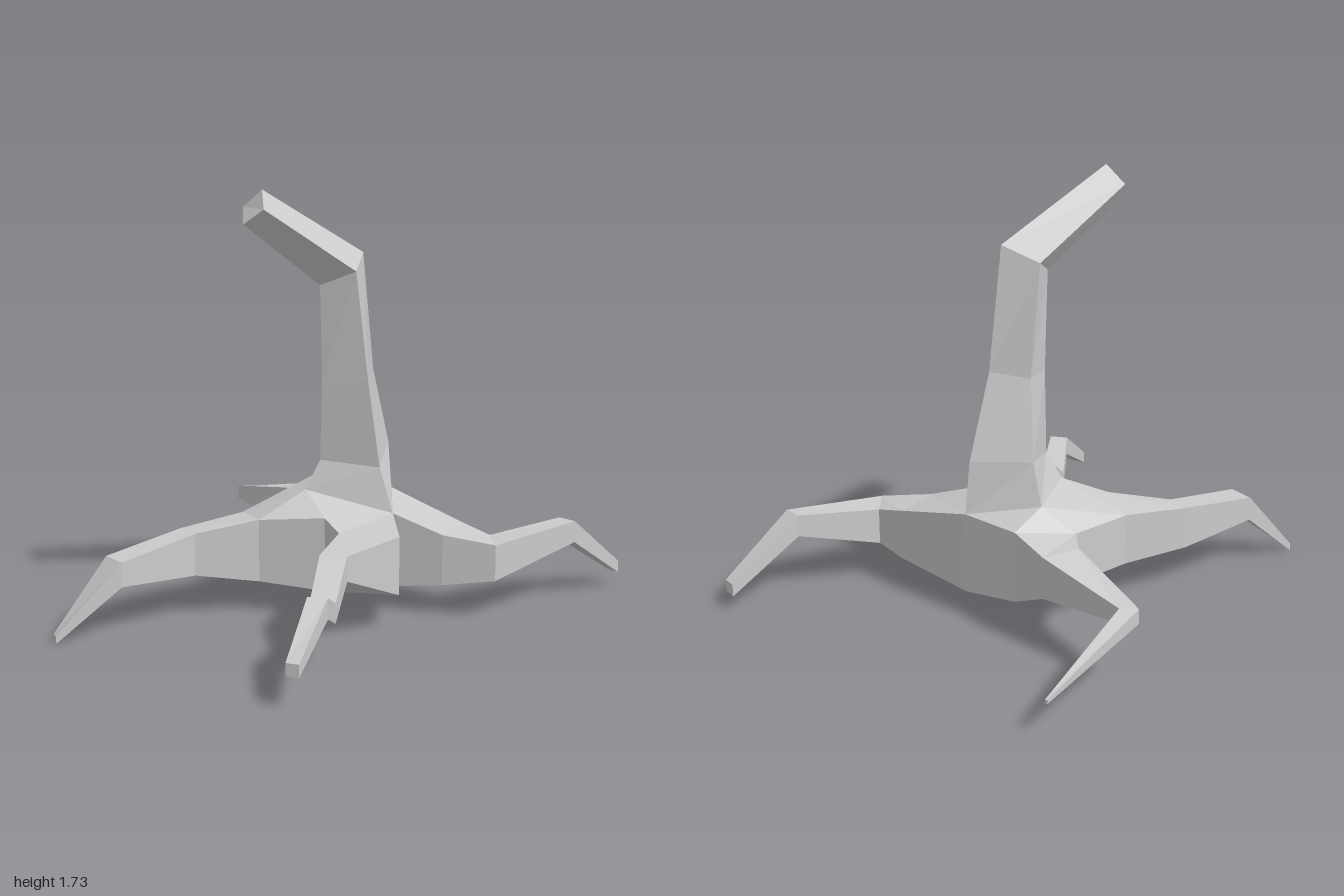
import * as THREE from 'three';

const material = new THREE.MeshStandardMaterial({ color: 0xcccccc, flatShading: true });

// Flat-shaded mesh from a list of polygons (each a counter-clockwise loop of points)
function polyMesh(name, polygons) {
  const positions = [];
  for (const p of polygons) {
    for (let i = 1; i < p.length - 1; i++) positions.push(...p[0], ...p[i], ...p[i + 1]);
  }
  const geometry = new THREE.BufferGeometry();
  geometry.setAttribute('position', new THREE.Float32BufferAttribute(positions, 3));
  geometry.computeVertexNormals();
  const mesh = new THREE.Mesh(geometry, material);
  mesh.name = name;
  return mesh;
}

// Skin a row of four-cornered rings and close the far end
function loft(name, rings) {
  const faces = [rings[rings.length - 1]];
  for (let k = 0; k < rings.length - 1; k++) {
    const r = rings[k], s = rings[k + 1];
    for (let i = 0; i < 4; i++) {
      const j = (i + 1) % 4;
      faces.push([r[i], r[j], s[j], s[i]]);
    }
  }
  return polyMesh(name, faces);
}

// Body outline, clockwise from above: x, z, top y, bottom y
const OUTLINE = [
  [0.01, -0.42, 0.43, 0.1], [0.19, -0.13, 0.41, 0.1], [0.01, 0.1, 0.415, 0.11],
  [-0.25, 0.19, 0.39, 0.13], [-0.42, 0.07, 0.37, 0.16], [-0.38, -0.22, 0.38, 0.17],
  [-0.24, -0.43, 0.42, 0.13],
];
const top = OUTLINE.map(([x, z, t]) => [x, t, z]);
const bottom = OUTLINE.map(([x, z, , b]) => [x, b, z]);

// Neck corners from the base up to the tip of the head
const NECK = [
  [[-0.27, 0.49, -0.3], [-0.15, 0.49, 0], top[1], top[0]],
  [[-0.21, 0.65, -0.27], [-0.11, 0.61, -0.05], [0.12, 0.59, -0.14], [0.01, 0.64, -0.39]],
  [[-0.145, 0.96, -0.2], [-0.08, 0.94, -0.02], [0.095, 0.95, -0.09], [0.02, 0.97, -0.25]],
  [[-0.13, 1.4, -0.12], [-0.07, 1.34, 0.01], [0.075, 1.4, -0.03], [0.02, 1.46, -0.17]],
  [[-0.26, 1.66, 0.26], [-0.21, 1.6, 0.33], [-0.12, 1.66, 0.32], [-0.17, 1.73, 0.26]],
];

// Limbs grow from the outline edge that starts at "port".
// Each section: x, z of one edge, x, z of the other edge, top y, bottom y
const LIMBS = [
  { name: 'backLeftLimb', port: 0, sections: [
    [0.38, -0.38, 0.4, -0.17, 0.34, 0.13],
    [0.51, -0.37, 0.6, -0.25, 0.31, 0.16],
    [0.68, -0.67, 0.76, -0.65, 0.34, 0.25],
    [0.78, -0.95, 0.84, -0.93, 0.11, 0.06],
  ] },
  { name: 'frontLeftLimb', port: 1, sections: [
    [0.335, 0.06, 0.11, 0.15, 0.38, 0.14],
    [0.27, 0.34, 0.17, 0.38, 0.36, 0.26],
    [0.34, 0.53, 0.25, 0.57, 0.24, 0.16],
    [0.43, 0.72, 0.36, 0.75, 0.33, 0.25],
    [0.48, 0.98, 0.43, 0.99, 0.17, 0.12],
  ] },
  { name: 'frontRightLimb', port: 3, sections: [
    [-0.44, 0.37, -0.54, 0.33, 0.345, 0.17],
    [-0.53, 0.72, -0.64, 0.68, 0.3, 0.2],
    [-0.69, 0.93, -0.72, 0.91, 0.03, 0],
  ] },
  { name: 'backRightLimb', port: 5, sections: [
    [-0.47, -0.33, -0.41, -0.48, 0.38, 0.21],
    [-0.85, -0.49, -0.79, -0.53, 0.3, 0.24],
    [-0.815, -1, -0.805, -1, 0.145, 0.13],
  ] },
];

function createBody() {
  const [a, b] = NECK[0];
  const faces = [
    // Sloping top around the neck base
    [top[0], top[6], a], [top[6], top[5], a], [top[5], top[4], a], [top[4], b, a],
    [top[4], top[3], b], [top[3], top[2], b], [top[2], top[1], b],
  ];
  // Side walls between the limbs
  for (const i of [2, 4, 6]) {
    const j = (i + 1) % 7;
    faces.push([top[i], top[j], bottom[j], bottom[i]]);
  }
  // Shallow belly
  bottom.forEach((p, i) => faces.push([p, bottom[(i + 1) % 7], [-0.12, 0.11, -0.13]]));
  return polyMesh('body', faces);
}

function createLimb({ name, port, sections }) {
  const next = port + 1;
  const rings = [[top[port], top[next], bottom[next], bottom[port]]];
  for (const [ax, az, bx, bz, t, u] of sections) {
    rings.push([[ax, t, az], [bx, t, bz], [bx, u, bz], [ax, u, az]]);
  }
  return loft(name, rings);
}

export function createModel() {
  const group = new THREE.Group();
  group.name = 'longNeckedCreature';
  group.add(createBody(), loft('neckAndHead', NECK), ...LIMBS.map(createLimb));
  return group;
}
